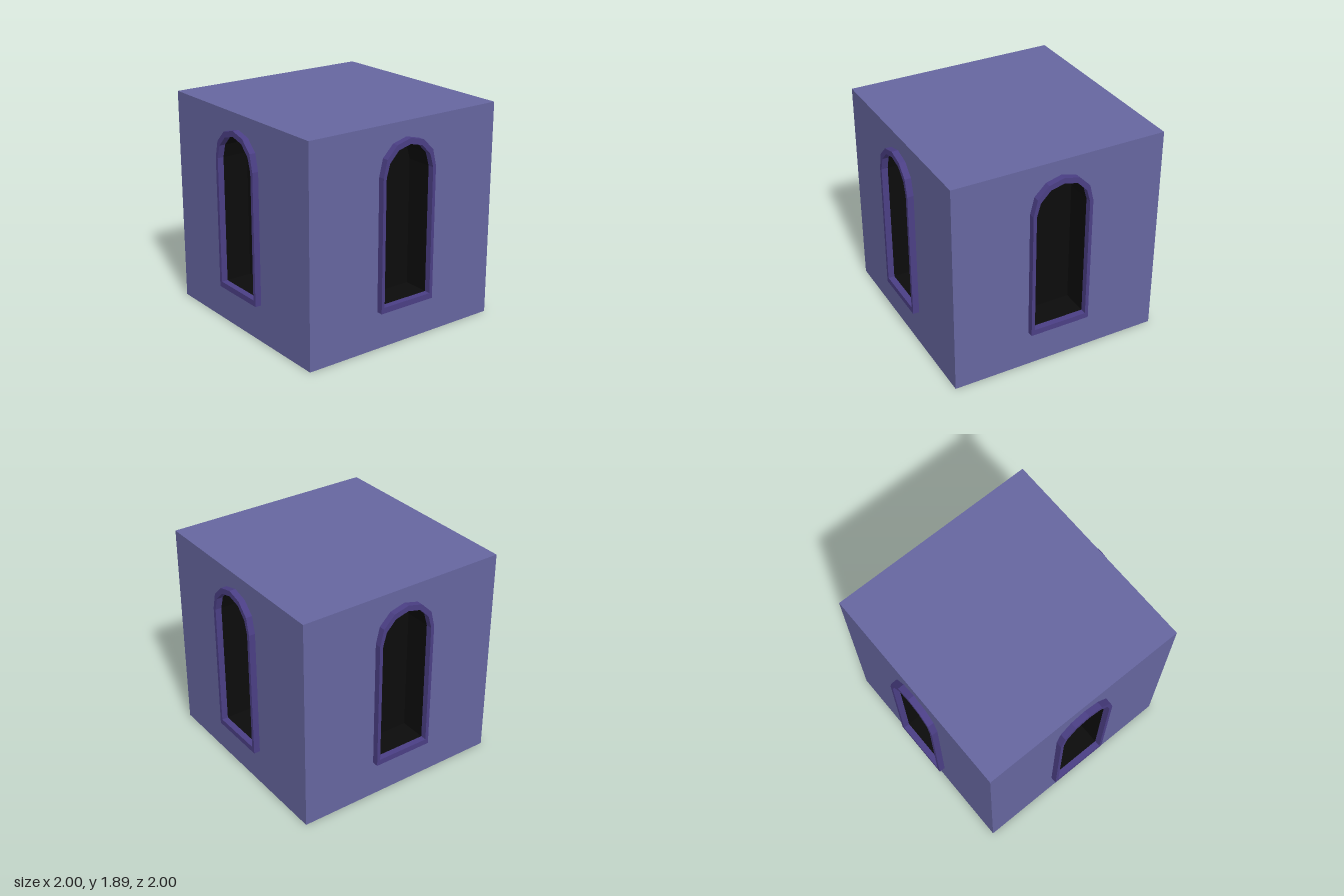
import * as THREE from 'three';

const HALF = 0.945;      // half width of the block
const HEIGHT = 1.89;
const FRAME = 0.055;     // how far a frame stands out
const RECESS = 0.23;     // how deep a window niche runs inward

// Faceted arch outline, counter-clockwise, mirrored from its right half
function archPoints(right) {
  const left = right.filter(([x]) => x > 0).reverse().map(([x, y]) => [-x, y]);
  return [...right, ...left].map(([x, y]) => new THREE.Vector2(x, y));
}
const outer = archPoints([[0.27, 0.33], [0.27, 1.48], [0.235, 1.625], [0.135, 1.725], [0, 1.76]]);
const inner = archPoints([[0.24, 0.38], [0.24, 1.475], [0.207, 1.59], [0.12, 1.68], [0, 1.71]]);

// Open band following an outline between two depths
function bandGeometry(points, z0, z1) {
  const pos = [];
  points.forEach((a, i) => {
    const b = points[(i + 1) % points.length];
    pos.push(a.x, a.y, z0, b.x, b.y, z1, b.x, b.y, z0);
    pos.push(a.x, a.y, z0, a.x, a.y, z1, b.x, b.y, z1);
  });
  const geo = new THREE.BufferGeometry();
  geo.setAttribute('position', new THREE.Float32BufferAttribute(pos, 3));
  geo.computeVertexNormals();
  return geo;
}

export function createModel() {
  const model = new THREE.Group();
  const wallMat = new THREE.MeshStandardMaterial({ color: 0x6666a0, side: THREE.DoubleSide });
  const frameMat = new THREE.MeshStandardMaterial({ color: 0x4b3f85 });
  const nicheMat = new THREE.MeshStandardMaterial({ color: 0x0c0c0c, side: THREE.DoubleSide });

  const add = (parent, name, geo, mat) => {
    const mesh = new THREE.Mesh(geo, mat);
    mesh.name = name;
    parent.add(mesh);
    return mesh;
  };

  // Thin wall pierced by the window
  const wallShape = new THREE.Shape([[-HALF, 0], [HALF, 0], [HALF, HEIGHT], [-HALF, HEIGHT]]
    .map(([x, y]) => new THREE.Vector2(x, y)));
  wallShape.holes.push(new THREE.Path(inner));
  const wallGeo = new THREE.ShapeGeometry(wallShape).translate(0, 0, HALF);

  // Raised window surround
  const frameShape = new THREE.Shape(outer);
  frameShape.holes.push(new THREE.Path(inner));
  const frameGeo = new THREE.ExtrudeGeometry(frameShape, { depth: FRAME, bevelEnabled: false })
    .translate(0, 0, HALF);

  // Dark niche behind the window: side band and back panel
  const nicheGeo = bandGeometry(inner, HALF - RECESS, HALF);
  const backGeo = new THREE.ShapeGeometry(new THREE.Shape(inner)).translate(0, 0, HALF - RECESS);

  // The same side four times round
  ['front', 'left', 'back', 'right'].forEach((name, i) => {
    const side = new THREE.Group();
    side.name = `${name}Side`;
    side.rotation.y = i * Math.PI / 2;
    add(side, 'wall', wallGeo, wallMat);
    add(side, 'windowFrame', frameGeo, frameMat);
    add(side, 'windowNiche', nicheGeo, nicheMat);
    add(side, 'nicheBack', backGeo, nicheMat);
    model.add(side);
  });

  // Flat roof; the underside stays open
  const roof = add(model, 'roof', new THREE.PlaneGeometry(2 * HALF, 2 * HALF), wallMat);
  roof.rotation.x = -Math.PI / 2;
  roof.position.y = HEIGHT;

  return model;
}
